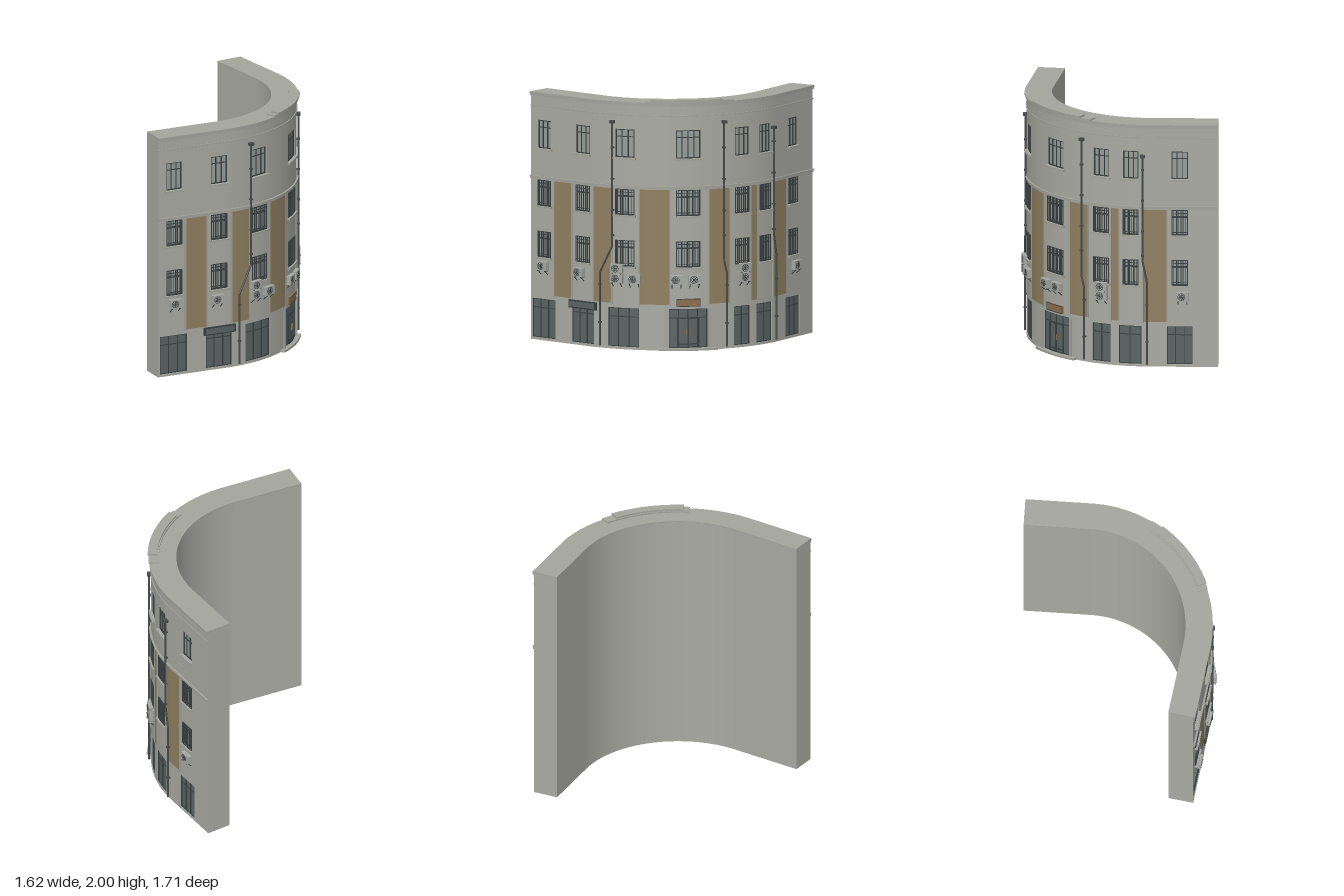
import * as THREE from 'three';
import { mergeGeometries } from 'three/addons/utils/BufferGeometryUtils.js';

const mat = (name, color) => Object.assign(new THREE.MeshStandardMaterial({ color }), { name });

// Plan of the facade: straight wing, arc, straight wing
const WING = 0.58, R = 1.005, SWEEP = 1.707, CX = -0.23, CZ = -0.2;
const ARC_END = WING + R * SWEEP, LENGTH = ARC_END + 0.527;

// Wraps a geometry drawn flat (x = distance along facade, z = offset from wall) onto the plan
function bend(geo) {
  const p = geo.attributes.position, n = geo.attributes.normal;
  for (let i = 0; i < p.count; i++) {
    const s = p.getX(i), r = R + p.getZ(i);
    const a = THREE.MathUtils.clamp((s - WING) / R, 0, SWEEP);
    const t = s < WING ? s - WING : Math.max(0, s - ARC_END);
    const c = Math.cos(a), d = Math.sin(a);
    p.setXYZ(i, CX + r * d + t * c, p.getY(i), CZ + r * c - t * d);
    const nx = n.getX(i), nz = n.getZ(i);
    n.setXYZ(i, nx * c + nz * d, n.getY(i), nz * c - nx * d);
  }
  return geo;
}

// Flat block from s0..s1, y0..y1, offset o0..o1, divided along the facade
function block(s0, s1, y0, y1, o0, o1) {
  const seg = Math.max(1, Math.ceil((s1 - s0) / 0.035));
  return new THREE.BoxGeometry(s1 - s0, y1 - y0, o1 - o0, seg, 1, 1)
    .translate((s0 + s1) / 2, (y0 + y1) / 2, (o0 + o1) / 2);
}

// Border plus evenly spaced bars; rows are heights given as fractions
function lattice(s0, s1, y0, y1, o0, o1, cols, rows, t, border = t) {
  const out = [
    block(s0, s0 + border, y0, y1, o0, o1), block(s1 - border, s1, y0, y1, o0, o1),
    block(s0, s1, y0, y0 + border, o0, o1), block(s0, s1, y1 - border, y1, o0, o1),
  ];
  for (let i = 1; i < cols; i++) {
    const s = s0 + (s1 - s0) * i / cols;
    out.push(block(s - t / 2, s + t / 2, y0, y1, o0, o1));
  }
  for (const f of rows) {
    const y = y0 + (y1 - y0) * f;
    out.push(block(s0, s1, y - t / 2, y + t / 2, o0, o1));
  }
  return out;
}

export function createModel() {
  const M = {
    wall: mat('wall plaster', 0xa9aaa2),
    trim: mat('stone trim', 0xa3a49c),
    panel: mat('brown panel', 0x8f7f60),
    frame: mat('dark metal', 0x394042),
    glass: mat('window glass', 0x989d98),
    shop: mat('shop glass', 0x596363),
    unit: mat('air conditioner casing', 0xa6a8a3),
    sign: mat('door sign', 0x8a6e4c),
    pipe: mat('drain pipe', 0x474c4d),
  };
  const model = new THREE.Group();
  model.name = 'curvedBuilding';
  const add = (name, material, geos) => {
    const mesh = new THREE.Mesh(bend(mergeGeometries(geos)), material);
    mesh.name = name;
    model.add(mesh);
  };

  // Openings along the facade
  const windows = [[0.14, 0.135], [0.533, 0.143], [0.92, 0.16], [1.43, 0.195],
    [1.89, 0.135], [2.134, 0.125], [2.522, 0.132]].map(([c, w]) => [c - w / 2, c + w / 2]);
  const shops = [[0.016, 0.254], [0.42, 0.645], [0.775, 1.04], [1.275, 1.585],
    [1.812, 1.967], [2.037, 2.218], [2.421, 2.623]];
  const rows = [[0.02, 0.33, shops], [0.663, 0.87, windows], [1.072, 1.278, windows], [1.53, 1.755, windows]];

  // Wall core and pierced outer skin
  const DEPTH = -0.018, TOP = 1.97;
  const wall = [block(0, LENGTH, 0, TOP, -0.2, DEPTH)];
  let y = 0;
  for (const [y0, y1, holes] of rows) {
    wall.push(block(0, LENGTH, y, y0, DEPTH, 0));
    let s = 0;
    for (const [a, b] of holes) {
      wall.push(block(s, a, y0, y1, DEPTH, 0));
      s = b;
    }
    wall.push(block(s, LENGTH, y0, y1, DEPTH, 0));
    y = y1;
  }
  wall.push(block(0, LENGTH, y, TOP, DEPTH, 0));
  add('wall', M.wall, wall);

  // Cornice, belt courses and roof crest
  add('cornice', M.trim, [
    block(0, LENGTH, 1.862, 1.872, 0, 0.007),
    block(0, LENGTH, 1.945, 1.958, 0, 0.01),
    block(0, LENGTH, 1.958, 1.975, -0.2, 0.016),
    block(0, LENGTH, 1.282, 1.308, 0, 0.009),
    block(0, LENGTH, 1.3, 1.308, 0, 0.015),
  ]);
  add('roofCrest', M.trim, [
    block(1.085, 1.805, 1.975, 1.986, -0.06, 0.02),
    block(1.13, 1.71, 1.986, 2.0, -0.05, 0.026),
  ]);

  // Brown panels between the windows, with narrow edge strips
  const panels = [[0.244, 0.42], [0.646, 0.808], [1.045, 1.28], [1.6, 1.77], [1.977, 2.037], [2.234, 2.416]];
  add('facadePanels', M.panel, panels.map(([a, b]) => block(a, b, 0.365, 1.28, 0, 0.004)));
  add('panelEdges', M.trim, panels.flatMap(([a, b]) =>
    [block(a - 0.012, a, 0.355, 1.28, 0, 0.008), block(b, b + 0.012, 0.355, 1.28, 0, 0.008)]));

  // Windows: glass, frames, sills, and grilles on the two lower rows
  const glass = [], frames = [], sills = [], grilles = [];
  rows.slice(1).forEach(([y0, y1], row) => windows.forEach(([a, b], i) => {
    glass.push(block(a, b, y0, y1, DEPTH, -0.015));
    frames.push(...lattice(a, b, y0, y1, -0.015, -0.006, i === 3 ? 4 : 3, [0.74], 0.006, 0.008));
    sills.push(block(a - 0.012, b + 0.012, y0 - 0.016, y0, 0, 0.024));
    if (row < 2) grilles.push(...lattice(a, b, y0, y1, 0.002, 0.008, i === 3 ? 9 : 7, [0.12, 0.72, 0.88], 0.005));
  }));
  add('windowGlass', M.glass, glass);
  add('windowFrames', M.frame, frames);
  add('windowSills', M.trim, sills);
  add('windowGrilles', M.frame, grilles);

  // Shopfronts and the main door
  const S0 = 0.02, S1 = 0.33;
  add('shopGlass', M.shop, shops.map(([a, b]) => block(a, b, S0, S1, DEPTH, -0.014)));
  add('shopFrames', M.frame, shops.flatMap(([a, b]) =>
    lattice(a, b, S0, S1, -0.014, -0.006, b - a < 0.2 ? 2 : b - a > 0.3 ? 4 : 3, [0.77], 0.006)));
  add('doorLeaves', M.frame, lattice(1.34, 1.52, S0, 0.26, -0.012, -0.002, 2, [0.12], 0.01));
  add('doorHandles', M.sign, [-0.018, 0.012].map(d => block(1.43 + d, 1.436 + d, 0.12, 0.17, -0.002, 0.006)));
  add('doorStep', M.trim, [
    block(1.2, 1.66, 0, 0.018, 0, 0.035),
    block(1.245, 1.265, 0.018, 0.335, 0, 0.012), block(1.595, 1.615, 0.018, 0.335, 0, 0.012),
  ]);

  // Plain sign boards
  add('shopSign', M.frame, [block(0.398, 0.672, 0.293, 0.356, 0, 0.018)]);
  add('shopSignFace', M.shop, [block(0.41, 0.66, 0.303, 0.346, 0.018, 0.021)]);
  add('doorSign', M.sign, [block(1.335, 1.525, 0.35, 0.412, 0, 0.014)]);
  add('doorSignRim', M.frame, lattice(1.335, 1.525, 0.35, 0.412, 0.012, 0.017, 1, [], 0.005));

  // Air conditioners: casing, fan rings and blades, wall brackets
  const casings = [], fans = [], brackets = [];
  const units = [[0.14, 0.597], [0.51, 0.585], [0.863, 0.645], [0.863, 0.567], [1.004, 0.567],
    [1.335, 0.567], [1.475, 0.567], [1.9, 0.637], [1.9, 0.562], [2.543, 0.58]];
  for (const [s, h] of units) {
    casings.push(block(s - 0.05, s + 0.05, h - 0.035, h + 0.035, 0.008, 0.042));
    const fs = s - 0.008;
    for (const r of [0.028, 0.017]) fans.push(new THREE.TorusGeometry(r, 0.002, 4, 20).translate(fs, h, 0.043));
    fans.push(new THREE.CylinderGeometry(0.007, 0.007, 0.004, 12).rotateX(Math.PI / 2).translate(fs, h, 0.043));
    for (let k = 0; k < 4; k++) {
      fans.push(new THREE.BoxGeometry(0.054, 0.003, 0.003).rotateZ(k * Math.PI / 4).translate(fs, h, 0.043));
    }
    for (const d of [-0.035, 0.035]) {
      brackets.push(block(s + d - 0.003, s + d + 0.003, h - 0.041, h - 0.035, 0, 0.045));
      brackets.push(new THREE.BoxGeometry(0.005, 0.005, 0.05).rotateX(-0.75).translate(s + d, h - 0.053, 0.02));
    }
  }
  add('airConditionerCasings', M.unit, casings);
  add('airConditionerFans', M.frame, fans);
  add('airConditionerBrackets', M.frame, brackets);

  // Drain pipes with an offset, hopper head and clips
  const pipes = [[0.82, 0.709, 1.81, 0.82, 0.6], [1.72, 1.745, 1.81, 0.7, 0.6], [2.228, 2.265, 1.715, 0.87, 0.68]];
  for (const [a, b, top, k0, k1] of pipes) {
    const pts = [[a, top], [a, k0], [b, k1], [b, 0.02]].map(([s, h]) => new THREE.Vector3(s, h, 0.014));
    const path = new THREE.CurvePath();
    for (let i = 0; i < 3; i++) path.add(new THREE.LineCurve3(pts[i], pts[i + 1]));
    const geos = [new THREE.TubeGeometry(path, 90, 0.008, 8), block(a - 0.018, a + 0.018, top - 0.01, top + 0.013, 0, 0.032)];
    for (const h of [1.6, 1.35, 1.1, 0.9]) geos.push(block(a - 0.011, a + 0.011, h, h + 0.012, 0, 0.025));
    for (const h of [0.5, 0.2]) geos.push(block(b - 0.011, b + 0.011, h, h + 0.012, 0, 0.025));
    add('drainPipe', M.pipe, geos);
  }
  return model;
}
